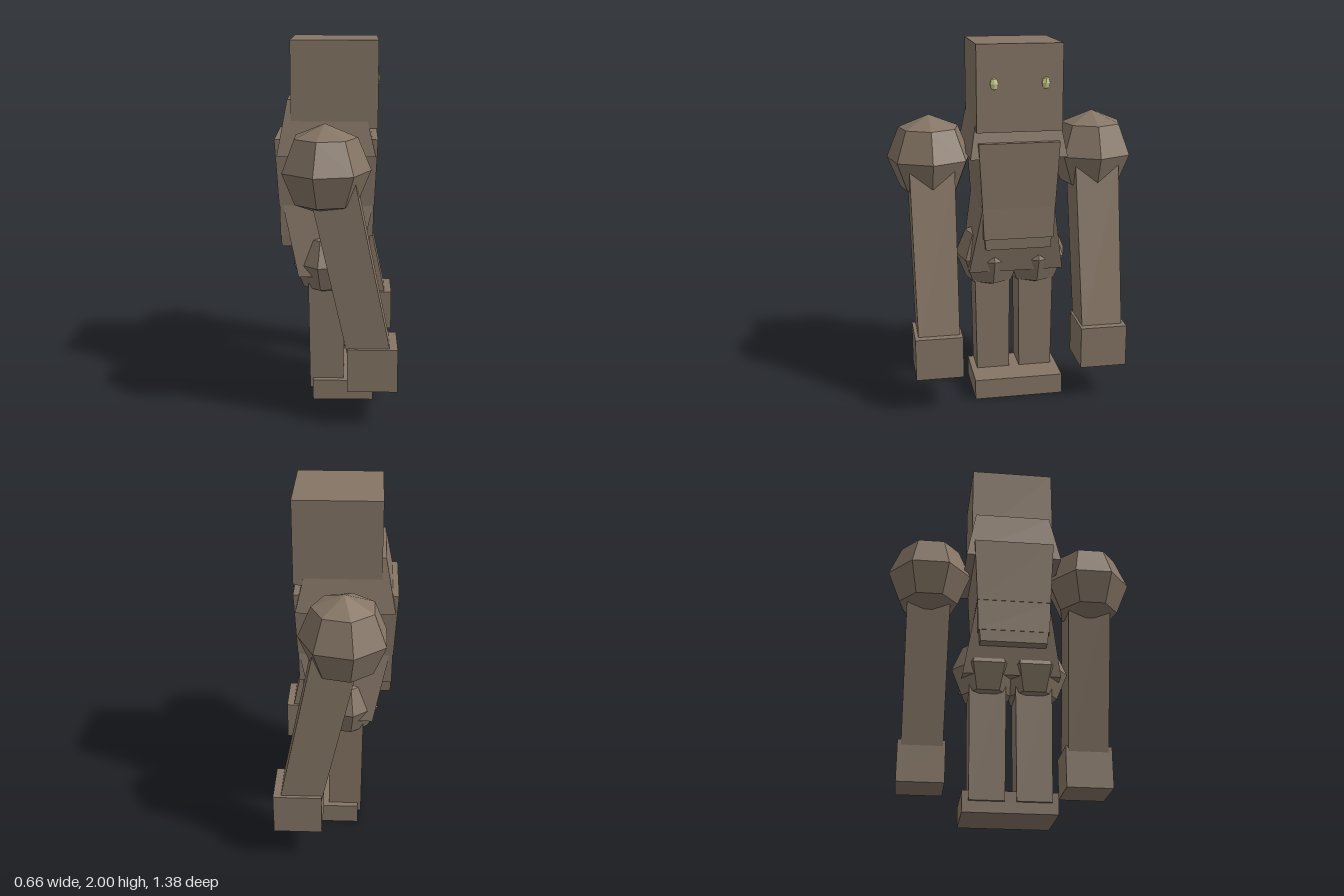
import * as THREE from 'three';

const stone = new THREE.MeshStandardMaterial({ color: 0x857565, flatShading: true });
const glow = new THREE.MeshStandardMaterial({ color: 0xc8cc88, flatShading: true });

// Box whose bottom and top are rectangles [x0, x1, z0, z1] at heights y0 and y1
function block(name, y0, bottom, y1, top = bottom) {
  const geo = new THREE.BoxGeometry(1, 1, 1);
  const p = geo.attributes.position;
  for (let i = 0; i < p.count; i++) {
    const upper = p.getY(i) > 0;
    const r = upper ? top : bottom;
    p.setXYZ(i, p.getX(i) > 0 ? r[1] : r[0], upper ? y1 : y0, p.getZ(i) > 0 ? r[3] : r[2]);
  }
  geo.computeVertexNormals();
  const mesh = new THREE.Mesh(geo, stone);
  mesh.name = name;
  return mesh;
}

// Seven-sided faceted ball with a corner towards +x
function ball(name, x, y, z, rx, ry = rx, rz = rx, material = stone) {
  const geo = new THREE.SphereGeometry(1, 7, 4).rotateY(Math.PI).scale(rx, ry, rz);
  const mesh = new THREE.Mesh(geo, material);
  mesh.position.set(x, y, z);
  mesh.name = name;
  return mesh;
}

export function createModel() {
  const model = new THREE.Group();
  model.name = 'golem';

  // Head and torso
  model.add(
    block('head', 1.54, [-0.24, 0.22, -0.23, 0.23], 2),
    block('shoulderYoke', 1.395, [-0.315, 0.21, -0.263, 0.263], 1.69, [-0.26, 0.14, -0.21, 0.21]),
    block('chest', 1.12, [-0.31, 0.205, -0.2, 0.2], 1.48, [-0.33, 0.222, -0.22, 0.22]),
    block('abdomen', 0.945, [-0.305, 0.2, -0.193, 0.193], 1.12, [-0.307, 0.202, -0.199, 0.199]),
    block('belt', 0.88, [-0.3, 0.178, -0.18, 0.18], 0.945, [-0.302, 0.183, -0.186, 0.186]),
    block('pelvis', 0.73, [-0.205, 0.107, -0.265, 0.265], 1.12, [-0.29, 0.2, -0.198, 0.198]),
    block('foot', 0, [-0.13, 0.205, -0.25, 0.25], 0.115),
  );

  // Paired parts on both sides of the body
  for (const s of [-1, 1]) {
    const rect = (x0, x1, zc, half) => [x0, x1, s * zc - half, s * zc + half];
    model.add(
      ball('eye', 0.215, 1.795, s * 0.137, 0.016, 0.035, 0.026, glow),
      ball('shoulder', -0.053, 1.365, s * 0.457, 0.237),
      ball('hip', -0.055, 0.79, s * 0.125, 0.197),
      block('leg', 0.06, rect(-0.147, 0.04, 0.123, 0.093), 0.78, rect(-0.155, 0.042, 0.125, 0.1)),
      block('hand', 0.205, rect(0.063, 0.327, 0.46, 0.13), 0.44),
    );
    // Arm leaning forward, with its top face square to the lean
    const arm = block('arm', 0.4, rect(0.065, 0.293, 0.457, 0.113), 1.34, rect(-0.15, 0.103, 0.457, 0.122));
    const p = arm.geometry.attributes.position;
    for (let i = 0; i < p.count; i++) {
      if (p.getY(i) > 1) p.setY(i, p.getX(i) > 0 ? 1.32 : 1.37);
    }
    arm.geometry.computeVertexNormals();
    model.add(arm);
  }
  return model;
}
